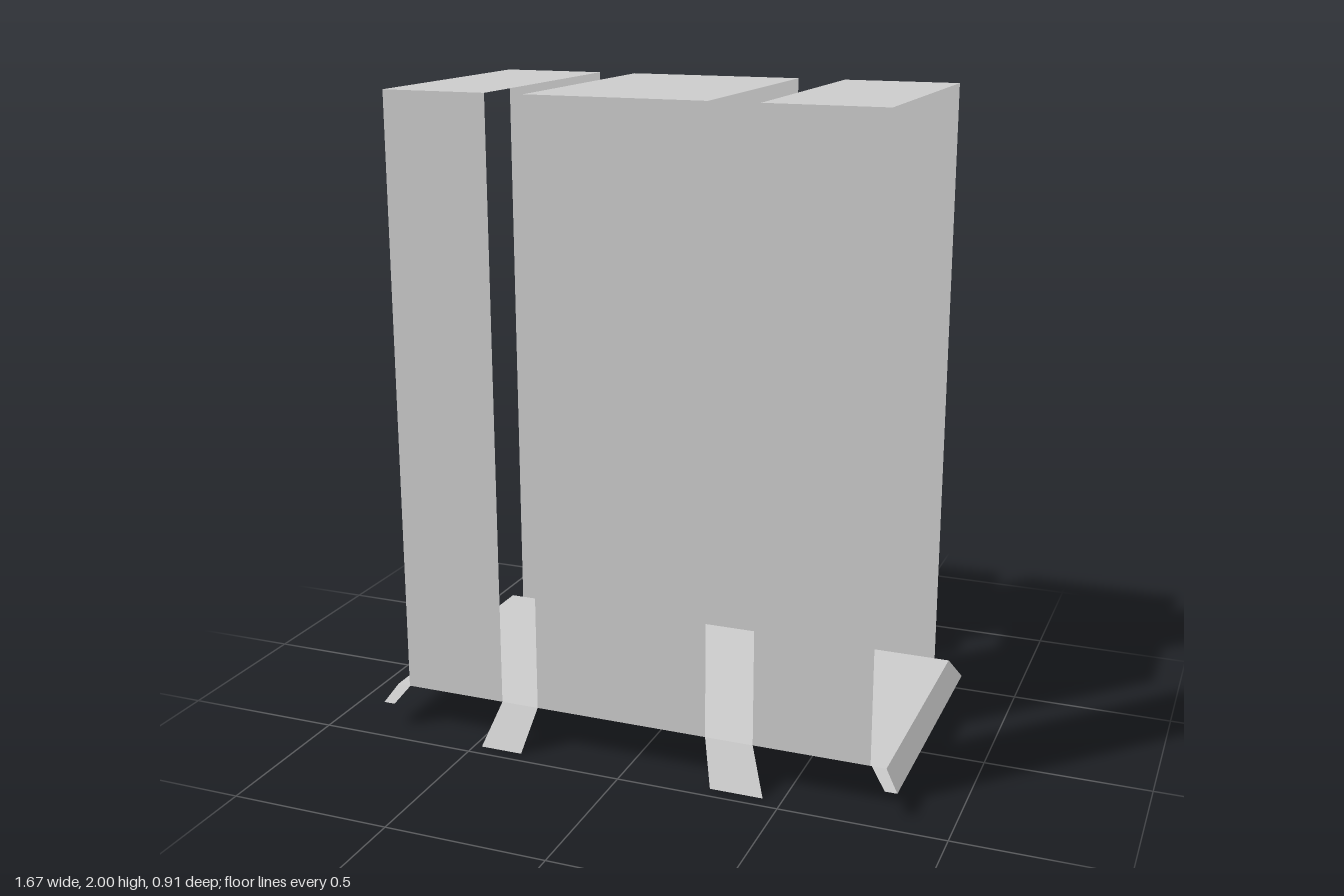
import * as THREE from 'three';

const FLOOR = 0.137, TOP = 2, DEPTH = 0.405;

const material = new THREE.MeshStandardMaterial({
  color: 0xcccccc, flatShading: true, side: THREE.DoubleSide,
});

// One flat four-cornered sheet; corners run counter-clockwise seen from its face.
function sheet(name, a, b, c, d) {
  const geometry = new THREE.BufferGeometry();
  geometry.setAttribute('position', new THREE.Float32BufferAttribute([a, b, c, d].flat(), 3));
  geometry.setIndex([0, 1, 2, 0, 2, 3]);
  geometry.computeVertexNormals();
  const mesh = new THREE.Mesh(geometry, material);
  mesh.name = name;
  return mesh;
}

// Sheet hanging from a top edge (x0..x1) to a bottom edge (x2..x3), facing the given side.
function hanging(name, side, [x0, x1, y0, z0], [x2, x3, y1, z1]) {
  const corners = [[x2, y1, z1 * side], [x3, y1, z1 * side], [x1, y0, z0 * side], [x0, y0, z0 * side]];
  if (side < 0) corners.reverse();
  return sheet(name, ...corners);
}

// Level sheet facing up.
function level(name, x0, x1, y) {
  return sheet(name, [x0, y, DEPTH], [x1, y, DEPTH], [x1, y, -DEPTH], [x0, y, -DEPTH]);
}

export function createModel() {
  const model = new THREE.Group();
  model.name = 'openFrame';

  model.add(level('floor', -0.795, 0.795, FLOOR));

  // Three tall bands, each a front wall, a back wall and a roof
  const bands = { rightBand: [-0.754, -0.427], middleBand: [-0.306, 0.243], leftBand: [0.392, 0.748] };
  for (const [name, [x0, x1]] of Object.entries(bands)) {
    const band = new THREE.Group();
    band.name = name;
    band.add(level('roof', x0, x1, TOP));
    for (const side of [1, -1]) {
      band.add(hanging(side > 0 ? 'frontWall' : 'backWall', side,
        [x0, x1, TOP, DEPTH], [x0, x1, FLOOR, DEPTH]));
    }
    model.add(band);
  }

  // Splayed feet below the gaps between the bands
  for (const side of [1, -1]) {
    const end = side > 0 ? 'front' : 'back';
    model.add(hanging(end + 'RightFoot', side, [-0.427, -0.306, FLOOR, DEPTH], [-0.476, -0.341, 0, 0.457]));
    model.add(hanging(end + 'LeftFoot', side, [0.243, 0.392, FLOOR, DEPTH], [0.278, 0.442, 0, 0.457]));
  }

  // Sloping lip along each end, with small corner tabs
  const lipY = 0.078, lipZ = 0.43;
  for (const s of [1, -1]) {
    const lip = new THREE.Group();
    lip.name = s > 0 ? 'leftLip' : 'rightLip';
    lip.add(sheet('slope',
      [s * 0.835, lipY, s * lipZ], [s * 0.835, lipY, -s * lipZ],
      [s * 0.795, FLOOR, -s * DEPTH], [s * 0.795, FLOOR, s * DEPTH]));
    for (const side of [1, -1]) {
      const top = [0.752, 0.795].map((x) => x * s).sort((a, b) => a - b);
      const bottom = [0.798, 0.835].map((x) => x * s).sort((a, b) => a - b);
      lip.add(hanging(side > 0 ? 'frontTab' : 'backTab', side,
        [...top, FLOOR, DEPTH], [...bottom, lipY, lipZ]));
    }
    model.add(lip);
  }
  return model;
}
